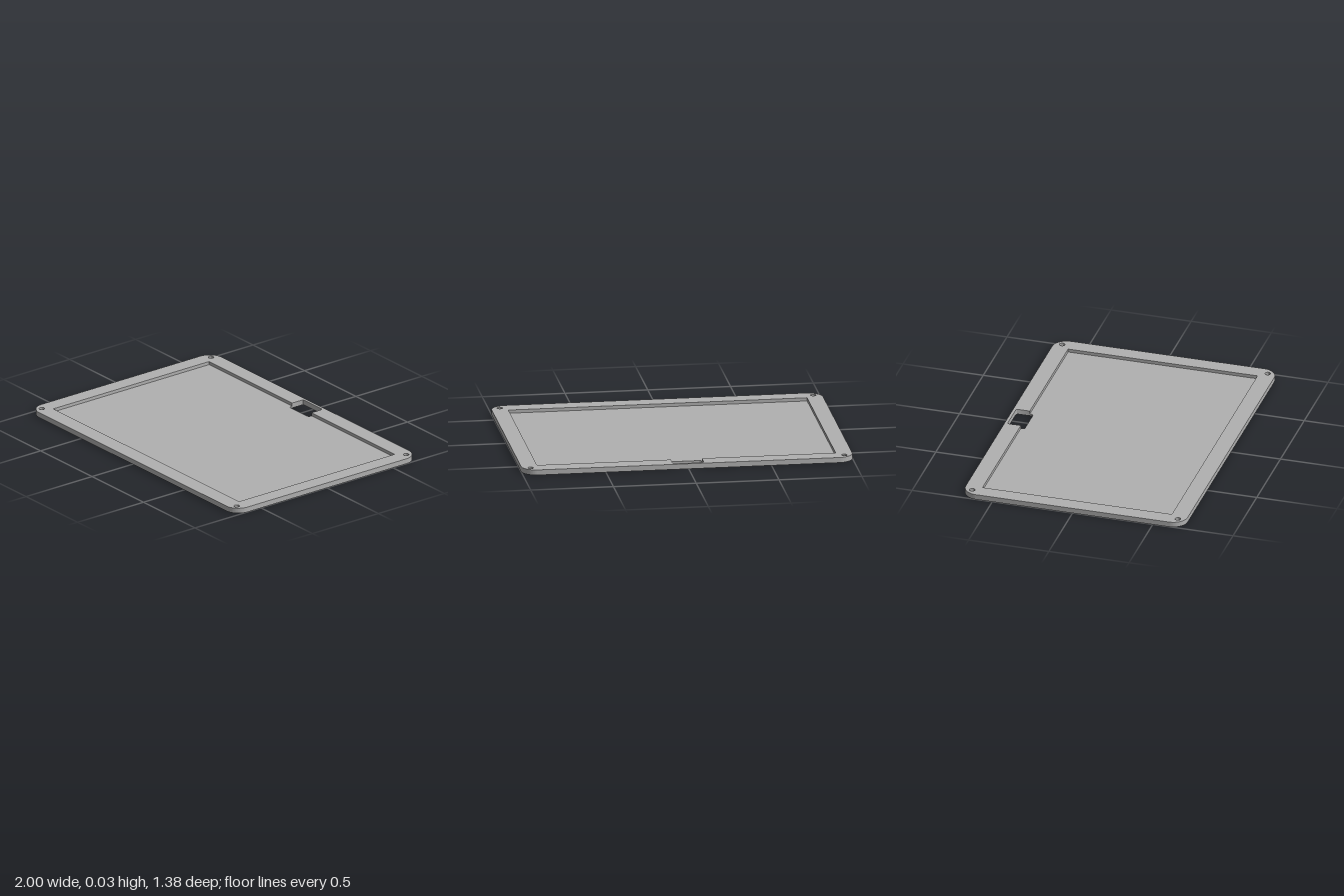
import * as THREE from 'three';
import { toCreasedNormals } from 'three/addons/utils/BufferGeometryUtils.js';

const HEIGHT = 0.032, FLOOR = 0.012;
const HALF_W = 1, HALF_D = 0.692, CORNER = 0.09;
const RECESS_W = 0.902, RECESS_D = 0.59;
const SLOT_W = 0.094, SLOT_NEAR = 0.567, SLOT_FAR = 0.674, SLOT_R = 0.014;

// Rounded rectangle traced into a Shape or Path (plan y points to the back)
function roundedRect(path, x0, y0, x1, y1, r) {
  path.moveTo(x0 + r, y0);
  path.lineTo(x1 - r, y0);
  path.absarc(x1 - r, y0 + r, r, -Math.PI / 2, 0);
  path.lineTo(x1, y1 - r);
  path.absarc(x1 - r, y1 - r, r, 0, Math.PI / 2);
  path.lineTo(x0 + r, y1);
  path.absarc(x0 + r, y1 - r, r, Math.PI / 2, Math.PI);
  path.lineTo(x0, y0 + r);
  path.absarc(x0 + r, y0 + r, r, Math.PI, Math.PI * 1.5);
  return path;
}

// Outer outline with four screw holes of the given radius
function plateOutline(holeRadius) {
  const shape = roundedRect(new THREE.Shape(), -HALF_W, -HALF_D, HALF_W, HALF_D, CORNER);
  for (const sx of [-1, 1]) for (const sy of [-1, 1]) {
    shape.holes.push(new THREE.Path().absarc(sx * 0.947, sy * 0.641, holeRadius, 0, Math.PI * 2, true));
  }
  return shape;
}

// Flat layer extruded upwards from y
function layer(name, shape, y, thickness, material) {
  const geometry = new THREE.ExtrudeGeometry(shape, { depth: thickness, bevelEnabled: false, curveSegments: 12 });
  geometry.rotateX(-Math.PI / 2);
  geometry.translate(0, y, 0);
  const mesh = new THREE.Mesh(toCreasedNormals(geometry, 0.7), material);
  mesh.name = name;
  return mesh;
}

export function createModel() {
  const group = new THREE.Group();
  group.name = 'coverPlate';
  const grey = new THREE.MeshStandardMaterial({ color: 0xb0b0b0 });
  grey.name = 'plain grey';

  // Floor: wide screw-head pockets underneath and the through slot
  const floor = plateOutline(0.028);
  floor.holes.push(roundedRect(new THREE.Path(), -SLOT_W, SLOT_NEAR, SLOT_W, SLOT_FAR, SLOT_R));
  group.add(layer('floor', floor, 0, FLOOR, grey));

  // Raised rim: narrow screw holes, recess opening joined to the slot
  const rim = plateOutline(0.017);
  const opening = new THREE.Path();
  opening.moveTo(-RECESS_W, -RECESS_D);
  opening.lineTo(RECESS_W, -RECESS_D);
  opening.lineTo(RECESS_W, RECESS_D);
  opening.lineTo(SLOT_W, RECESS_D);
  opening.lineTo(SLOT_W, SLOT_FAR - SLOT_R);
  opening.absarc(SLOT_W - SLOT_R, SLOT_FAR - SLOT_R, SLOT_R, 0, Math.PI / 2);
  opening.lineTo(-SLOT_W + SLOT_R, SLOT_FAR);
  opening.absarc(-SLOT_W + SLOT_R, SLOT_FAR - SLOT_R, SLOT_R, Math.PI / 2, Math.PI);
  opening.lineTo(-SLOT_W, RECESS_D);
  opening.lineTo(-RECESS_W, RECESS_D);
  opening.closePath();
  rim.holes.push(opening);
  group.add(layer('rim', rim, FLOOR, HEIGHT - FLOOR, grey));

  return group;
}
